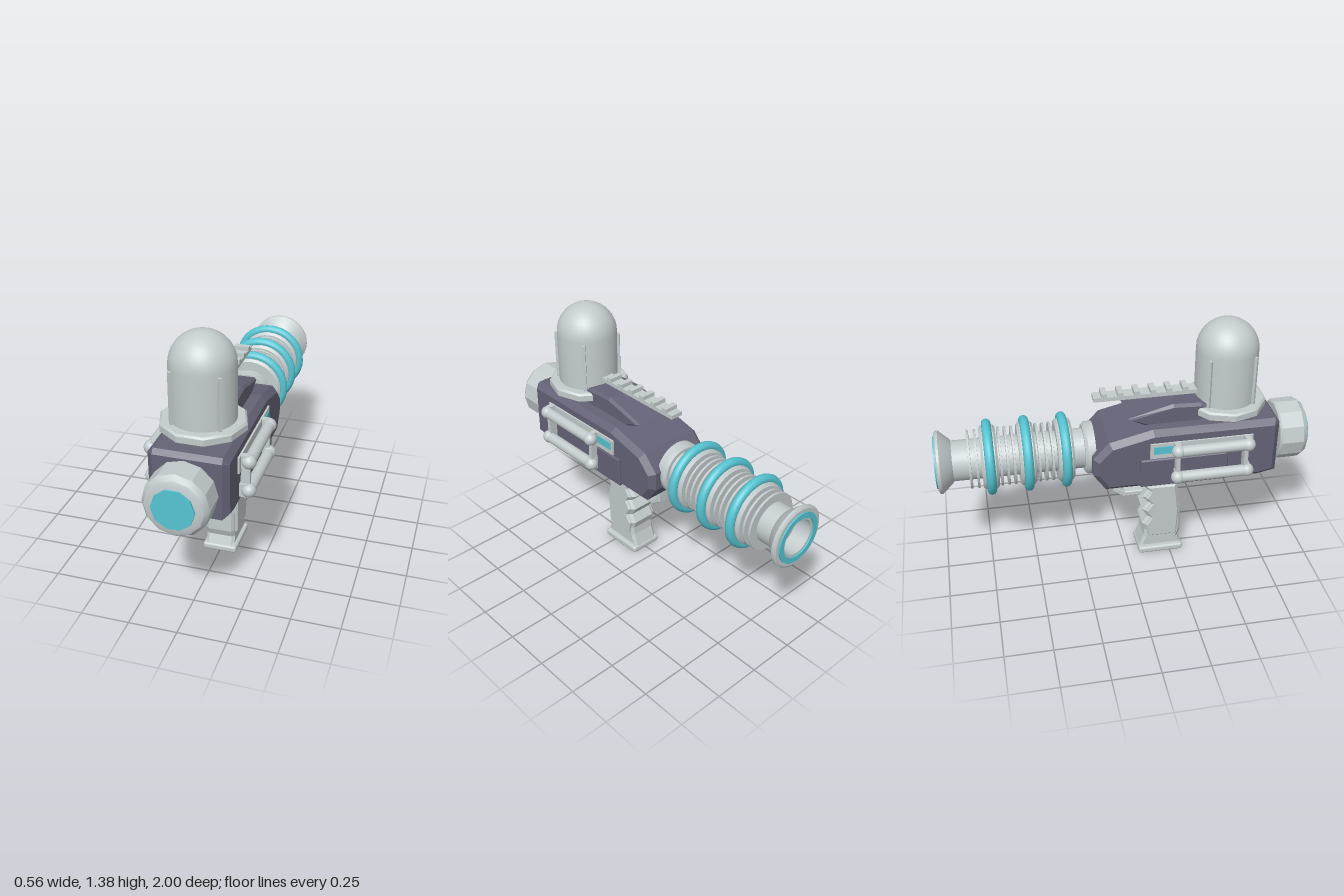
import * as THREE from 'three';
import { toCreasedNormals } from 'three/addons/utils/BufferGeometryUtils.js';
import { RoundedBoxGeometry } from 'three/addons/geometries/RoundedBoxGeometry.js';

const mat = (name, color) => Object.assign(new THREE.MeshStandardMaterial({ color }), { name });

export function createModel() {
  const grey = mat('light grey', 0xc3cbcc);
  const slate = mat('slate', 0x646376);
  const teal = mat('teal', 0x55c4d1);
  const root = new THREE.Group();
  root.name = 'rayBlaster';
  const axisY = 0.7;

  function add(name, geo, material, x = 0, y = 0, z = 0, parent = root) {
    const mesh = new THREE.Mesh(geo, material);
    mesh.name = name;
    mesh.position.set(x, y, z);
    parent.add(mesh);
    return mesh;
  }
  // Side profile of [z, y] points, given a width across x and chamfered edges
  function slab(pts, width, bevel) {
    const shape = new THREE.Shape(pts.map(([z, y]) => new THREE.Vector2(z, y)));
    const geo = new THREE.ExtrudeGeometry(shape, {
      depth: width - 2 * bevel, bevelEnabled: bevel > 0, bevelSegments: 1,
      bevelSize: bevel, bevelThickness: bevel, bevelOffset: -bevel,
    });
    geo.translate(0, 0, bevel - width / 2);
    return geo.rotateY(-Math.PI / 2);
  }
  // Turned part from [radius, height] points, listed bottom to top
  function turned(pts, segments = 32) {
    const v = pts.map(([r, h]) => new THREE.Vector2(r, h));
    return toCreasedNormals(new THREE.LatheGeometry(v, segments, Math.PI / 2), 0.5);
  }
  const turnedZ = (pts, segments) => turned(pts, segments).rotateX(Math.PI / 2);
  // Solid disc with slightly chamfered rims
  const disc = (r, h, c) => [[0, -h / 2], [r - c, -h / 2], [r, -h / 2 + c], [r, h / 2 - c], [r - c, h / 2], [0, h / 2]];

  // Main housing and the raised spine on top
  add('housing', slab([[0.8, 0.55], [0.8, 0.85], [0.78, 0.875], [0.12, 0.875], [-0.11, 0.82], [-0.195, 0.73],
    [-0.195, 0.63], [-0.13, 0.535], [0.7, 0.53]], 0.4, 0.03), slate);
  add('spine', slab([[0.5, 0.86], [0.5, 0.93], [0.39, 0.968], [0.24, 0.975], [0, 0.91], [0.1, 0.86]], 0.23, 0.015), slate);

  // Sight rail with teeth
  add('rail', new THREE.BoxGeometry(0.07, 0.022, 0.56), grey, 0, 1, 0.115);
  for (let i = 0; i < 6; i++) {
    add('railTooth', new THREE.BoxGeometry(0.08, 0.024, 0.03), grey, 0, 1.021, 0.32 - i * 0.086);
  }

  // Domed canister with a ten-sided collar
  const canister = new THREE.Group();
  canister.name = 'canister';
  canister.position.z = 0.543;
  root.add(canister);
  const dome = [[0.163, 0.88]];
  for (let i = 0; i <= 10; i++) {
    const a = (i / 10) * Math.PI / 2;
    dome.push([Math.max(0, 0.163 * Math.cos(a)), 1.222 + 0.163 * Math.sin(a)]);
  }
  add('dome', turned(dome), grey, 0, 0, 0, canister);
  add('collar', turned(disc(0.218, 0.052, 0.01), 10), grey, 0, 0.918, 0, canister);
  add('collarFoot', turned(disc(0.17, 0.04, 0.005), 20), grey, 0, 0.88, 0, canister);
  for (let i = 0; i < 4; i++) {
    const a = Math.PI / 4 + i * Math.PI / 2;
    const fin = add('domeFin', new THREE.BoxGeometry(0.016, 0.29, 0.022), grey,
      0.166 * Math.sin(a), 1.068, 0.166 * Math.cos(a), canister);
    fin.rotation.y = a;
  }

  // Cap with a coloured lens
  add('cap', turnedZ([[0, 0.825], [0.155, 0.825], [0.165, 0.835], [0.165, 0.955], [0.145, 0.982], [0.125, 0.99], [0, 0.99]], 12),
    grey, 0, axisY);
  add('lens', turnedZ([[0, 0.985], [0.106, 0.985], [0.106, 1], [0, 1]], 10), teal, 0, axisY);

  // Hollow barrel with flared muzzle
  add('barrel', turnedZ([[0, -0.9], [0.095, -0.9], [0.095, -0.992], [0.155, -0.992], [0.166, -0.985], [0.166, -0.972],
    [0.115, -0.915], [0.107, -0.91], [0.107, -0.225], [0.125, -0.225], [0.14, -0.21], [0.14, -0.17]]), grey, 0, axisY);
  add('muzzleRing', turnedZ([[0.107, -0.99], [0.107, -1], [0.137, -1], [0.137, -0.99]]), teal, 0, axisY);
  for (const z of [-0.327, -0.525, -0.72]) {
    add('coil', new THREE.TorusGeometry(0.176, 0.025, 12, 40), teal, 0, axisY + 0.003, z);
    add('coilSeat', turnedZ(disc(0.168, 0.085, 0.012)), grey, 0, axisY + 0.003, z);
  }
  for (const z of [-0.395, -0.43, -0.465, -0.594, -0.628, -0.663, -0.785, -0.822]) {
    add('coolingFin', turnedZ(disc(0.155, 0.012, 0.001)), grey, 0, axisY, z);
  }

  // Grip with finger grooves, side panels and foot
  add('grip', slab([[0.29, 0.56], [0.285, 0.45], [0.31, 0.28], [0.31, 0.13], [0.295, 0.09], [0.315, 0.04],
    [0.075, 0.04], [0.1, 0.11], [0.105, 0.155], [0.09, 0.2], [0.12, 0.245], [0.09, 0.295], [0.125, 0.34],
    [0.09, 0.38], [0.12, 0.425], [0.09, 0.46], [0.09, 0.56]], 0.156, 0.015), grey);
  add('gripPanel', slab([[0.272, 0.455], [0.292, 0.28], [0.285, 0.12], [0.125, 0.12], [0.118, 0.155], [0.108, 0.2],
    [0.137, 0.245], [0.108, 0.295], [0.14, 0.34], [0.108, 0.38], [0.135, 0.425], [0.112, 0.455]], 0.186, 0.008), grey);
  add('gripFoot', new RoundedBoxGeometry(0.186, 0.04, 0.252, 2, 0.014), grey, 0, 0.02, 0.197);

  // Trigger and guard
  add('trigger', slab([[0.085, 0.55], [0.045, 0.55], [0.045, 0.49], [0.065, 0.45], [0.08, 0.455], [0.07, 0.5]], 0.045, 0.006), grey);
  add('triggerGuard', slab([[-0.07, 0.55], [-0.07, 0.415], [-0.01, 0.37], [0.1, 0.37], [0.1, 0.4], [0, 0.4],
    [-0.042, 0.43], [-0.042, 0.55]], 0.06, 0.004), grey);

  // Side fittings, mirrored
  for (const s of [1, -1]) {
    const side = new THREE.Group();
    side.name = s > 0 ? 'leftFittings' : 'rightFittings';
    root.add(side);
    add('upperPlate', new THREE.BoxGeometry(0.02, 0.088, 0.55), grey, s * 0.2, 0.765, 0.375, side);
    add('indicator', new THREE.BoxGeometry(0.008, 0.042, 0.105), teal, s * 0.21, 0.77, 0.17, side);
    const panel = slab([[0.52, 0.55], [0.52, 0.7], [0.505, 0.715], [0.05, 0.715], [0.05, 0.55]], 0.025, 0.006);
    add('lowerPanel', panel, slate, s * 0.2, 0, 0, side);
    for (const z of [0.605, 0.24]) {
      add('bracket', new THREE.BoxGeometry(0.045, 0.15, 0.022), grey, s * 0.228, 0.695, z, side);
    }
    for (const y of [0.775, 0.617]) {
      const tube = new THREE.CylinderGeometry(0.03, 0.03, 0.37, 20).rotateX(Math.PI / 2);
      add('sideTube', tube, grey, s * 0.246, y, 0.427, side);
      for (const z of [0.615, 0.24]) {
        add('tubeEnd', new THREE.SphereGeometry(0.036, 20, 14), grey, s * 0.246, y, z, side);
        add('tubeMount', new THREE.BoxGeometry(0.05, 0.07, 0.03), grey, s * 0.22, y, z, side);
      }
    }
  }
  return root;
}
